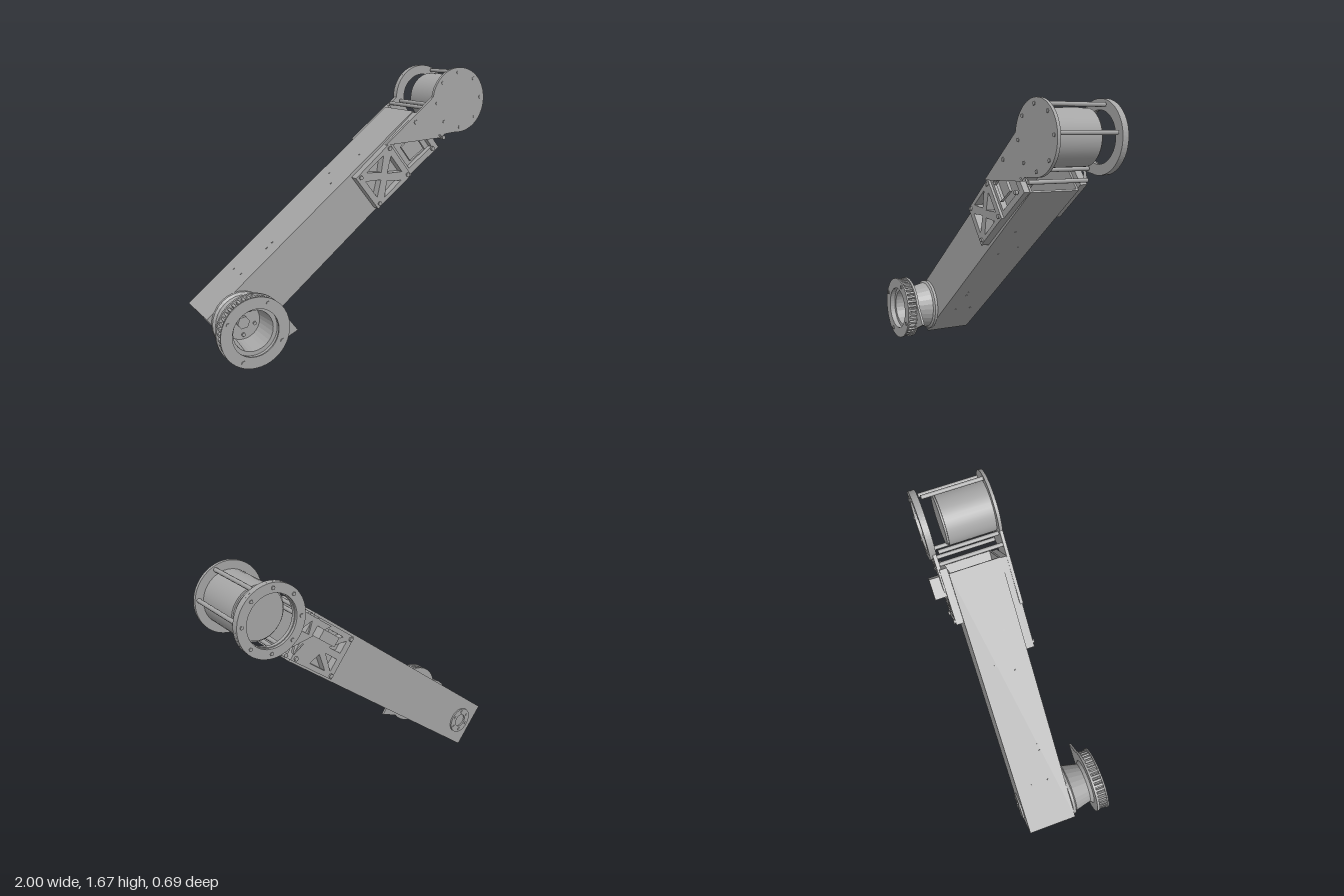
import * as THREE from 'three';

const grey = new THREE.MeshStandardMaterial({ color: 0xa6a6a6, side: THREE.DoubleSide });
grey.name = 'machined grey';

const TAU = Math.PI * 2;
const LENGTH = 2.0; // distance between the two joints

function add(parent, name, geometry, x = 0, y = 0, z = 0) {
  const mesh = new THREE.Mesh(geometry, grey);
  mesh.name = name;
  mesh.position.set(x, y, z);
  parent.add(mesh);
  return mesh;
}

// Flat part cut from a shape, spanning z0 to z1
function plate(parent, name, shape, z0, z1) {
  const geometry = new THREE.ExtrudeGeometry(shape, { depth: z1 - z0, bevelEnabled: false, curveSegments: 24 });
  return add(parent, name, geometry, 0, 0, z0);
}

// Round bar along z
function rod(parent, name, x, y, r, z0, z1, sides = 10) {
  const geometry = new THREE.CylinderGeometry(r, r, z1 - z0, sides).rotateX(Math.PI / 2);
  return add(parent, name, geometry, x, y, (z0 + z1) / 2);
}

const path = (points) => new THREE.Path(points.map(([x, y]) => new THREE.Vector2(x, y)));
const polygon = (points) => new THREE.Shape(points.map(([x, y]) => new THREE.Vector2(x, y)));
const circle = (x, y, r) => new THREE.Path().absarc(x, y, r, 0, TAU, true);
const disc = (x, y, r) => new THREE.Shape().absarc(x, y, r, 0, TAU, false);

function boltCircle(x, y, r, count, start = 0) {
  return Array.from({ length: count }, (_, i) => {
    const a = start + (i / count) * TAU;
    return [x + r * Math.cos(a), y + r * Math.sin(a)];
  });
}

// Straight arm ending in a round joint head
function armShape(start, halfWidth, radius) {
  const a = Math.asin(halfWidth / radius);
  const shape = new THREE.Shape();
  shape.moveTo(start, -halfWidth);
  shape.absarc(LENGTH, 0, radius, a - Math.PI, Math.PI - a, false);
  shape.lineTo(start, halfWidth);
  shape.closePath();
  return shape;
}

// Pair of triangular windows just past the tube end
function triangleWindows() {
  return [1, -1].map((s) => path([[1.72, s * 0.03], [1.79, s * 0.03], [1.745, s * 0.105]]));
}

function buildTube(arm) {
  const tube = new THREE.Group();
  tube.name = 'squareTube';
  arm.add(tube);
  const u0 = -0.137, u1 = 1.705, z0 = -0.228, z1 = 0.095, h = 0.155, t = 0.012;
  const mid = (u0 + u1) / 2, zm = (z0 + z1) / 2;
  for (const s of [-1, 1]) {
    add(tube, 'tubeSideWall', new THREE.BoxGeometry(u1 - u0, t, z1 - z0), mid, s * (h - t / 2), zm);
    add(tube, 'tubeFaceWall', new THREE.BoxGeometry(u1 - u0, 2 * h - 2 * t, t), mid, 0, zm + s * ((z1 - z0) / 2 - t / 2));
    // rivets along the upper and lower walls
    for (const [u, z] of [[0.2, -0.125], [0.2, -0.01], [0.42, -0.01], [0.47, -0.01], [1.0, -0.01], [1.07, -0.125], [1.27, -0.01]]) {
      add(tube, 'rivet', new THREE.CylinderGeometry(0.007, 0.007, 0.006, 8), u, s * h, z);
    }
  }
}

function buildPulley(arm) {
  const pulley = new THREE.Group();
  pulley.name = 'drivePulley';
  arm.add(pulley);

  // hollow conical hub
  const profile = [[0, 0.096], [0.178, 0.096], [0.178, 0.115], [0.163, 0.125], [0.137, 0.235], [0.155, 0.256],
    [0.155, 0.3], [0.125, 0.3], [0.11, 0.14], [0, 0.14]];
  const hub = new THREE.LatheGeometry(profile.map(([r, y]) => new THREE.Vector2(r, y)), 28).toNonIndexed();
  hub.rotateX(Math.PI / 2).computeVertexNormals();
  add(pulley, 'pulleyHub', hub);

  // flanges and toothed rim
  for (const [z0, z1] of [[0.255, 0.271], [0.327, 0.337]]) {
    const flange = disc(0, 0, 0.215);
    flange.holes.push(circle(0, 0, 0.145));
    plate(pulley, 'pulleyFlange', flange, z0, z1);
  }
  const teeth = 40, rim = [];
  for (let i = 0; i < teeth; i++) {
    [[0, 0.19], [0.15, 0.207], [0.6, 0.207], [0.75, 0.19]].forEach(([f, r]) => {
      const a = ((i + f) / teeth) * TAU;
      rim.push([r * Math.cos(a), r * Math.sin(a)]);
    });
  }
  const gear = polygon(rim);
  gear.holes.push(circle(0, 0, 0.15));
  plate(pulley, 'toothedRim', gear, 0.271, 0.327);
  plate(pulley, 'pointer', polygon([[0.06, -0.205], [0.194, -0.24], [0.2, -0.08], [0.15, -0.08]]), 0.255, 0.27);

  for (const [x, y] of boltCircle(0, 0, 0.185, 4, 0.45)) rod(pulley, 'flangeBolt', x, y, 0.014, 0.335, 0.342, 6);
  for (const [x, y] of boltCircle(0, 0, 0.08, 5, 0.3)) rod(pulley, 'hubBolt', x, y, 0.012, 0.138, 0.15, 6);
  rod(pulley, 'hubBoss', 0, 0, 0.04, 0.138, 0.16, 6);

  // bearing cap on the far side of the tube
  const cap = disc(0, 0, 0.09);
  cap.holes.push(circle(0, 0, 0.045));
  plate(arm, 'bearingCap', cap, -0.239, -0.227);
  for (const [x, y] of boltCircle(0, 0, 0.068, 6)) rod(arm, 'capBolt', x, y, 0.01, -0.243, -0.238, 6);
}

function buildFrontBracket(arm) {
  const bracket = new THREE.Group();
  bracket.name = 'frontBracket';
  arm.add(bracket);

  // head plate with square and triangular windows
  const head = armShape(1.39, 0.152, 0.212);
  head.holes.push(circle(LENGTH, 0, 0.105), ...triangleWindows());
  head.holes.push(path([[1.47, -0.06], [1.47, 0.06], [1.6, 0.07], [1.6, -0.07]]));
  plate(bracket, 'headPlate', head, 0.132, 0.152);

  // spacer frame between head plate and tube
  const spacer = polygon([[1.4, -0.14], [1.7, -0.15], [1.7, 0.15], [1.4, 0.14]]);
  spacer.holes.push(path([[1.44, -0.1], [1.44, 0.1], [1.66, 0.11], [1.66, -0.11]]));
  plate(bracket, 'spacerFrame', spacer, 0.095, 0.132);

  // cross braced foot
  const foot = polygon([[1.1, -0.135], [1.42, -0.14], [1.42, 0.14], [1.1, 0.135]]);
  foot.holes.push(path([[1.14, -0.07], [1.14, 0.07], [1.23, 0]]), path([[1.38, -0.07], [1.38, 0.07], [1.29, 0]]));
  for (const s of [-1, 1]) foot.holes.push(path([[1.18, s * 0.11], [1.34, s * 0.11], [1.26, s * 0.035]]));
  plate(bracket, 'crossBracedFoot', foot, 0.095, 0.148);

  for (const u of [1.13, 1.4, 1.65]) {
    for (const s of [-1, 1]) rod(bracket, 'bracketBolt', u, s * 0.115, 0.014, 0.14, 0.158, 6);
  }
  // patterned output hub in the head bore
  const hub = disc(LENGTH, 0, 0.1);
  for (const [x, y] of boltCircle(LENGTH, 0, 0.065, 6)) hub.holes.push(circle(x, y, 0.018));
  plate(bracket, 'outputHub', hub, 0.125, 0.143);
  rod(bracket, 'outputHubBoss', LENGTH, 0, 0.035, 0.13, 0.152, 6);
  for (const [x, y] of boltCircle(LENGTH, 0, 0.18, 8, 0.2)) rod(bracket, 'headBolt', x, y, 0.012, 0.15, 0.156, 6);
}

function buildBackBracket(arm) {
  const bracket = new THREE.Group();
  bracket.name = 'backBracket';
  arm.add(bracket);

  const ring = armShape(1.6, 0.13, 0.212);
  ring.holes.push(circle(LENGTH, 0, 0.15), ...triangleWindows());
  plate(bracket, 'ringPlate', ring, -0.285, -0.262);
  const trim = disc(LENGTH, 0, 0.212);
  trim.holes.push(circle(LENGTH, 0, 0.155));
  plate(bracket, 'ringTrim', trim, -0.302, -0.285);

  // ribbed foot with windows
  const foot = polygon([[1.39, -0.14], [1.74, -0.14], [1.74, 0.14], [1.39, 0.14]]);
  for (const s of [-1, 1]) {
    foot.holes.push(path([[1.43, s * 0.02], [1.43, s * 0.1], [1.53, s * 0.02]]));
    foot.holes.push(path([[1.47, s * 0.11], [1.6, s * 0.11], [1.57, s * 0.04]]));
    for (const u of [1.41, 1.71]) rod(bracket, 'footBolt', u, s * 0.12, 0.014, -0.285, -0.27, 6);
  }
  plate(bracket, 'backFoot', foot, -0.275, -0.228);
  add(bracket, 'sensorBlock', new THREE.BoxGeometry(0.13, 0.06, 0.075), 1.63, 0.065, -0.31);
  for (const [x, y] of boltCircle(LENGTH, 0, 0.183, 8, 0.2)) rod(bracket, 'ringBolt', x, y, 0.011, -0.307, -0.3, 6);
}

function buildMotor(arm, tilt) {
  const motor = new THREE.Group();
  motor.name = 'motor';
  arm.add(motor);
  rod(motor, 'motorCan', LENGTH, 0, 0.162, -0.165, 0.132, 40);
  rod(motor, 'motorEndCap', LENGTH, 0, 0.152, -0.176, -0.16, 40);
  // standoffs around the motor and behind it
  for (const degrees of [68, 8, 188, 248]) {
    const a = (degrees * Math.PI) / 180 - tilt;
    rod(motor, 'standoff', LENGTH + 0.19 * Math.cos(a), 0.19 * Math.sin(a), 0.013, -0.245, 0.135);
  }
  for (const s of [-1, 1]) rod(motor, 'rearStandoff', 1.77, s * 0.13, 0.013, -0.262, 0.135);
}

export function createModel() {
  const model = new THREE.Group();
  model.name = 'robotArmLink';

  // everything is laid out along local x, then tilted into place
  const arm = new THREE.Group();
  arm.name = 'armLink';
  const tilt = Math.atan2(1.238, 1.57);
  arm.position.set(-0.785, 0.217, 0);
  arm.rotation.z = tilt;
  model.add(arm);

  buildTube(arm);
  buildPulley(arm);
  buildFrontBracket(arm);
  buildBackBracket(arm);
  buildMotor(arm, tilt);
  return model;
}
